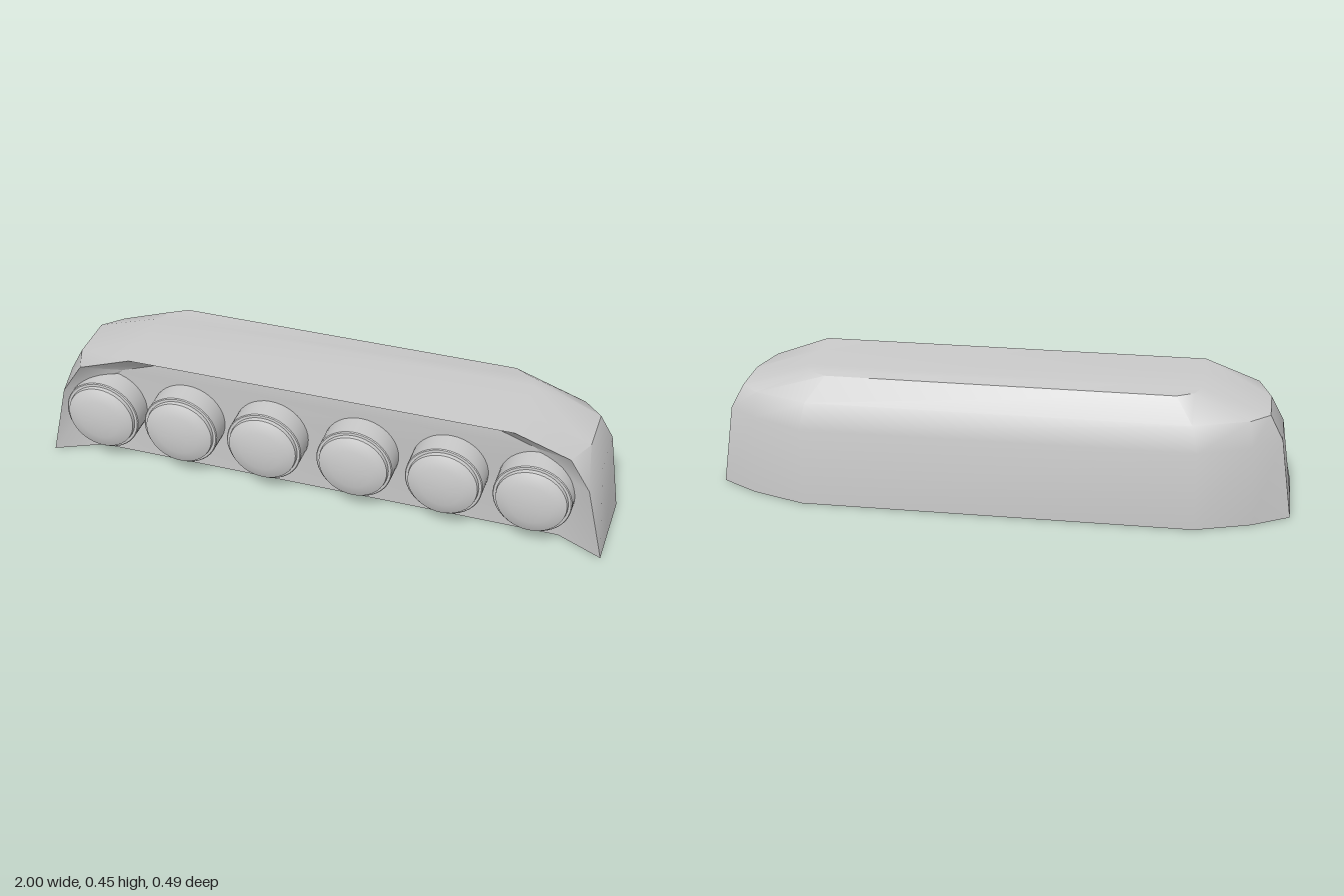
import * as THREE from 'three';
import { toCreasedNormals } from 'three/addons/utils/BufferGeometryUtils.js';

const grey = () => new THREE.MeshStandardMaterial({ color: 0xcccccc });

// Housing: vertical ribs of the +x half, from the recessed front round to the back.
// Each rib climbs base -> shoulder -> crease -> roof.
const ribs = [
  [[0.84, 0, 0.125], [0.82, 0.27, 0.125], [0.74, 0.35, 0.125], [0.6, 0.4, 0.125]],
  [[1, 0, 0.2], [0.94, 0.27, 0.2], [0.87, 0.38, 0.195], [0.68, 0.45, 0.2]],
  [[1, 0, 0.08], [0.96, 0.285, 0.08], [0.915, 0.37, 0.08], [0.68, 0.45, 0.08]],
  [[1, 0, -0.1], [0.96, 0.285, -0.1], [0.915, 0.37, -0.09], [0.68, 0.45, -0.08]],
  [[0.87, 0, -0.18], [0.86, 0.285, -0.18], [0.85, 0.37, -0.155], [0.66, 0.45, -0.13]],
  [[0.68, 0, -0.247], [0.68, 0.28, -0.247], [0.66, 0.37, -0.225], [0.6, 0.45, -0.165]],
];

const mirror = ([x, y, z]) => [-x, y, z];

function housingGeometry() {
  const pos = [];
  const tri = (a, b, c) => pos.push(...a, ...b, ...c);
  const quad = (a, b, c, d) => { tri(a, b, c); tri(a, c, d); };
  const last = ribs.length - 1;

  // Side walls and sloped shoulders, on both halves
  for (let k = 0; k < last; k++) {
    for (let l = 0; l < 3; l++) {
      const q = [ribs[k][l], ribs[k + 1][l], ribs[k + 1][l + 1], ribs[k][l + 1]];
      quad(...q);
      quad(...q.map(mirror).reverse());
    }
    // Roof, including the underside of the front overhang
    const a = ribs[k][3], b = ribs[k + 1][3];
    quad(mirror(a), a, b, mirror(b));
  }

  // Recessed front wall and back wall
  for (let l = 0; l < 3; l++) {
    const f0 = ribs[0][l], f1 = ribs[0][l + 1];
    quad(mirror(f0), f0, f1, mirror(f1));
    const b0 = ribs[last][l], b1 = ribs[last][l + 1];
    quad(b0, mirror(b0), mirror(b1), b1);
  }

  // Flat base, with the front corners as separate triangles
  const base = ribs.map((rib) => rib[0]);
  const corner = [base[0], base[2], base[1]];
  tri(...corner);
  tri(...corner.map(mirror).reverse());
  const spans = [0, 2, 3, 4, 5];
  for (let i = 0; i < spans.length - 1; i++) {
    const a = base[spans[i]], b = base[spans[i + 1]];
    quad(mirror(a), mirror(b), b, a);
  }

  const geo = new THREE.BufferGeometry();
  geo.setAttribute('position', new THREE.Float32BufferAttribute(pos, 3));
  return toCreasedNormals(geo, 0.7);
}

// Round lamp: barrel, stepped rim and shallow domed lens, facing +z
function lampGeometry() {
  const profile = [
    [0, 0.115], [0.135, 0.115], [0.135, 0.207], [0.132, 0.21], [0.123, 0.211],
    [0.121, 0.224], [0.1, 0.234], [0.075, 0.2405], [0.04, 0.2455], [0, 0.247],
  ].map(([r, z]) => new THREE.Vector2(r, z));
  const geo = new THREE.LatheGeometry(profile, 40);
  geo.rotateX(Math.PI / 2);
  return toCreasedNormals(geo, 0.6);
}

export function createModel() {
  const model = new THREE.Group();
  model.name = 'lampBar';

  const housing = new THREE.Mesh(housingGeometry(), grey());
  housing.name = 'housing';
  model.add(housing);

  // Row of six lamps
  const lampGeo = lampGeometry();
  const lampMaterial = grey();
  [-0.793, -0.498, -0.19, 0.136, 0.451, 0.755].forEach((x, i) => {
    const lamp = new THREE.Mesh(lampGeo, lampMaterial);
    lamp.name = `lamp${i + 1}`;
    lamp.position.set(x, 0.2, 0);
    model.add(lamp);
  });

  return model;
}
